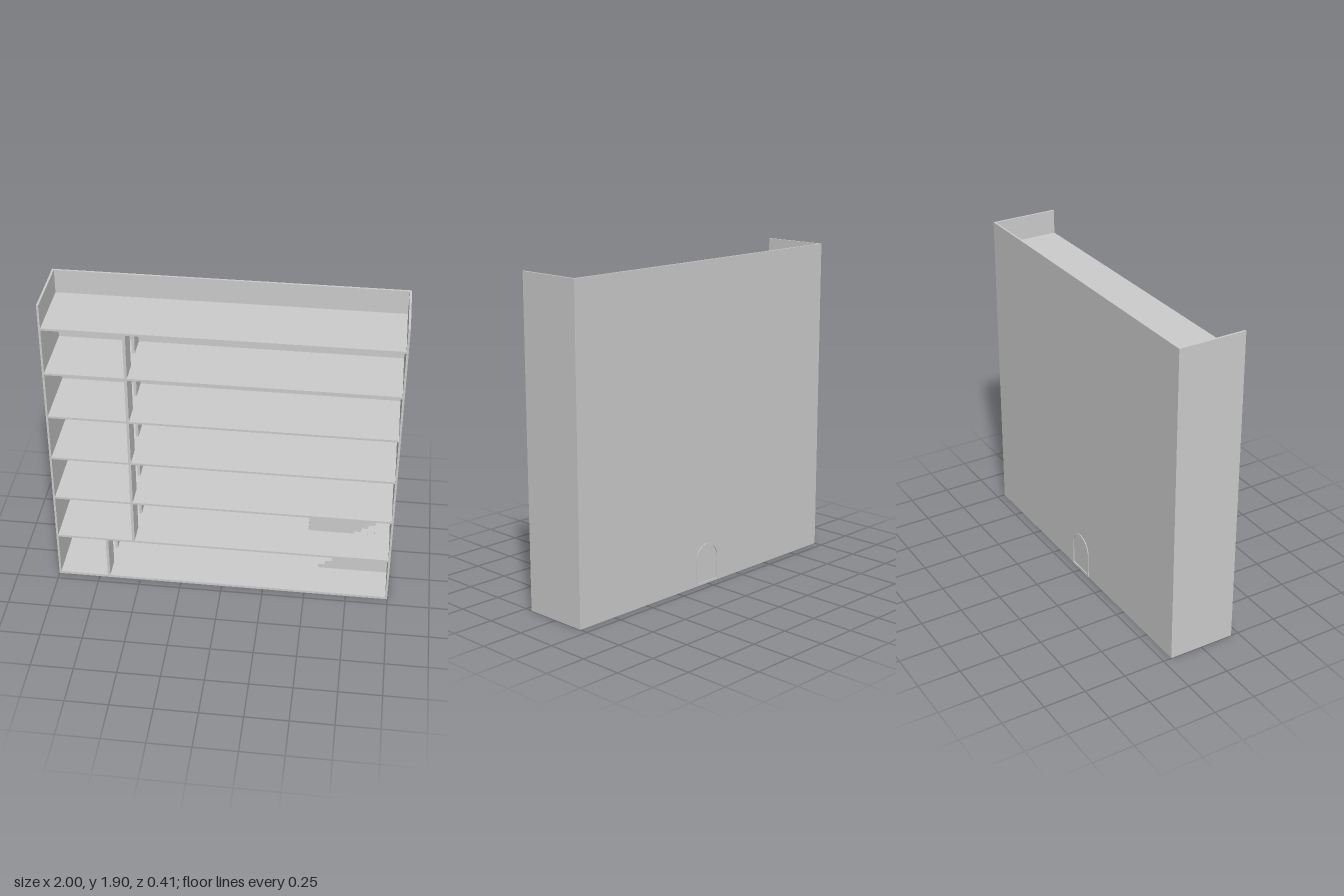
import * as THREE from 'three';

const material = new THREE.MeshStandardMaterial({ color: 0xcccccc, flatShading: true, side: THREE.DoubleSide });

const FRONT = 0.204, BACK = -0.199, T = 0.012; // depth limits and panel thickness
const INNER = BACK + T;                        // inside face of the back wall
const HEIGHT = 1.9, STOREY = 0.2905, SLAB = 0.013;

export function createModel() {
  const group = new THREE.Group();

  const add = (name, geometry) => {
    const mesh = new THREE.Mesh(geometry, material);
    mesh.name = name;
    group.add(mesh);
    return mesh;
  };

  // box given by its limits on each axis
  const box = (name, x0, x1, y0, y1, z0, z1) =>
    add(name, new THREE.BoxGeometry(x1 - x0, y1 - y0, z1 - z0))
      .position.set((x0 + x1) / 2, (y0 + y1) / 2, (z0 + z1) / 2);

  // flat shape in the xy plane, extruded from z0 to z1
  const slice = (name, shape, z0, z1) => {
    const g = new THREE.ExtrudeGeometry(shape, { depth: z1 - z0, bevelEnabled: false, curveSegments: 16 });
    add(name, g.translate(0, 0, z0));
  };

  // round-headed outline
  const arch = (r, bottom, spring, Type = THREE.Shape) => {
    const s = new Type();
    s.moveTo(-r, bottom);
    s.lineTo(r, bottom);
    s.lineTo(r, spring);
    s.absarc(0, spring, r, 0, Math.PI, false);
    s.closePath();
    return s;
  };

  // outer shell: side walls, and a back wall with an arched doorway
  const IN = 1 - T;
  box('rightWall', -1, -IN, 0, HEIGHT, BACK, FRONT);
  box('leftWall', IN, 1, 0, HEIGHT, BACK, FRONT);

  const wall = new THREE.Shape();
  wall.moveTo(-IN, 0);
  wall.lineTo(IN, 0);
  wall.lineTo(IN, HEIGHT);
  wall.lineTo(-IN, HEIGHT);
  wall.closePath();
  wall.holes.push(arch(0.08, 0.016, 0.155, THREE.Path));
  slice('backWall', wall, BACK, INNER);

  // door panel and its raised surround on the outside
  slice('door', arch(0.08, 0.016, 0.155), BACK + 0.001, INNER - 0.002);
  const surround = arch(0.095, 0.003, 0.155);
  surround.holes.push(arch(0.08, 0.016, 0.155, THREE.Path));
  slice('doorSurround', surround, -0.204, BACK);

  // ground slab, first floor with a stairwell, upper floors and roof
  const STAIR_Z = -0.02, WELL_X = 0.5;
  box('groundFloor', -IN, IN, 0, 0.016, INNER, FRONT);
  for (let i = 1; i <= 6; i++) {
    const top = 0.014 + i * STOREY, name = i === 6 ? 'roof' : 'floor' + i;
    if (i === 1) {
      const s = new THREE.Shape();
      s.moveTo(-IN, -FRONT);
      s.lineTo(IN, -FRONT);
      s.lineTo(IN, -STAIR_Z);
      s.lineTo(WELL_X, -STAIR_Z);
      s.lineTo(WELL_X, -INNER);
      s.lineTo(-IN, -INNER);
      s.closePath();
      const g = new THREE.ExtrudeGeometry(s, { depth: SLAB, bevelEnabled: false });
      add(name, g.rotateX(-Math.PI / 2).translate(0, top - SLAB, 0));
    } else {
      box(name, -IN, IN, top - SLAB, top, INNER, FRONT);
    }
  }

  // partitions, each in two pieces with a passage between them
  for (let i = 0; i < 6; i++) {
    const x = i === 0 ? -0.692 : -0.531;
    const y0 = i === 0 ? 0.016 : 0.014 + i * STOREY;
    const y1 = 0.014 + (i + 1) * STOREY - SLAB;
    box('partitionFront' + i, x - 0.008, x + 0.008, y0, y1, 0.074, FRONT);
    box('partitionBack' + i, x - 0.008, x + 0.008, y0, y1, INNER, -0.057);
  }

  // solid staircase rising to a landing at the left wall
  const steps = 9, run = 0.0415, rise = 0.0279, start = 0.568;
  const profile = new THREE.Shape();
  profile.moveTo(start, 0.016);
  for (let i = 0; i < steps; i++) {
    const y = 0.016 + (i + 1) * rise;
    profile.lineTo(start + i * run, y);
    profile.lineTo(i === steps - 1 ? IN : start + (i + 1) * run, y);
  }
  profile.lineTo(IN, 0.016);
  profile.closePath();
  slice('staircase', profile, INNER, STAIR_Z);

  return group;
}
